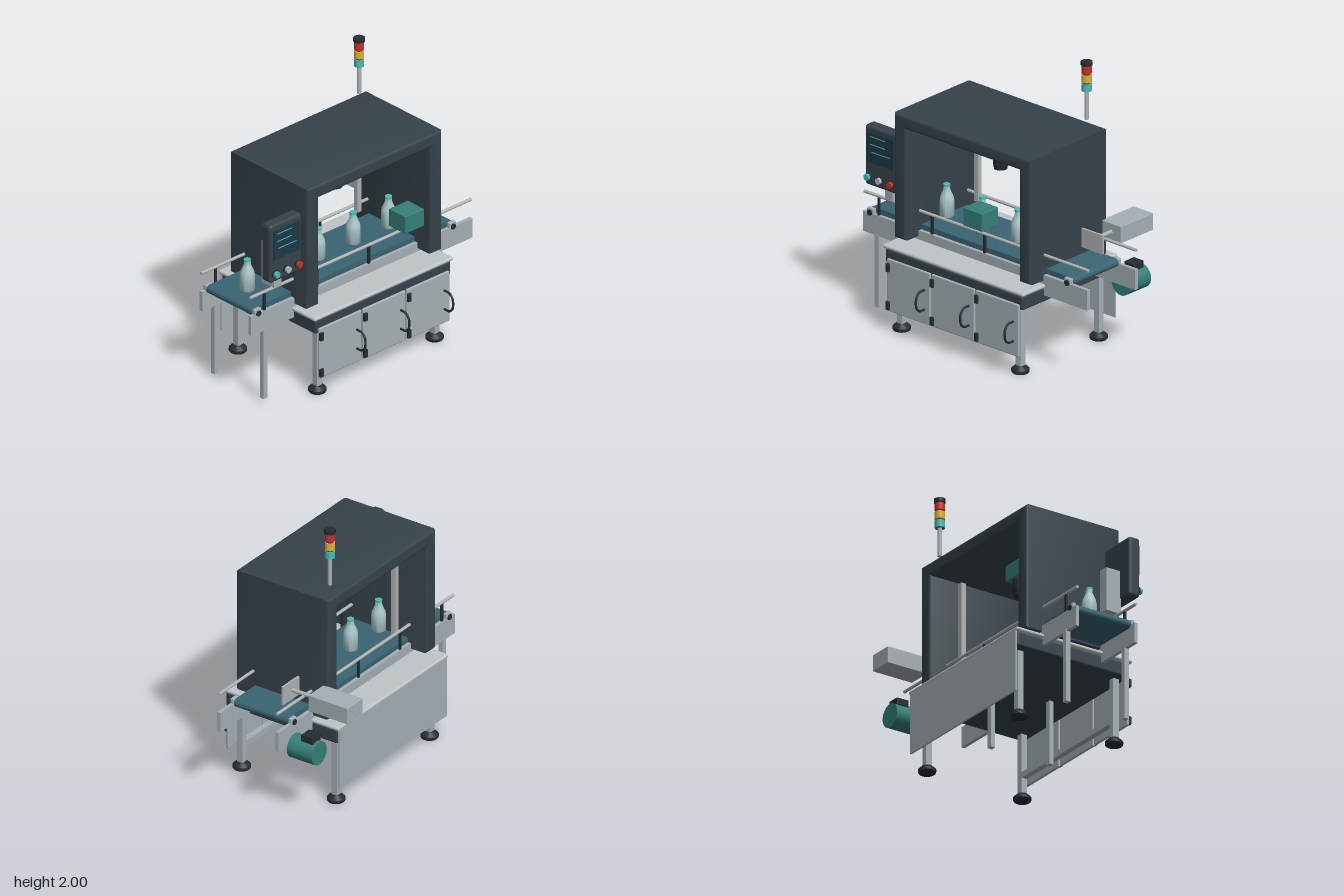
import * as THREE from 'three';
import { RoundedBoxGeometry } from 'three/addons/geometries/RoundedBoxGeometry.js';
import { toCreasedNormals } from 'three/addons/utils/BufferGeometryUtils.js';

const COLORS = {
  dark: 0x36434a, black: 0x262c31, grey: 0xa6b0b5, light: 0xbfc5c8, steel: 0xb0b3b5,
  teal: 0x358078, belt: 0x3a6472, screen: 0x1d3a47, cyan: 0x48bdb6,
  red: 0xc9302c, yellow: 0xe2b22f, bottle: 0xa9c6c8,
};
const mats = {};
for (const k in COLORS) mats[k] = new THREE.MeshStandardMaterial({ color: COLORS[k] });

export function createModel() {
  const model = new THREE.Group();

  function add(name, geo, mat, x = 0, y = 0, z = 0) {
    const m = new THREE.Mesh(geo, mats[mat]);
    m.name = name;
    m.position.set(x, y, z);
    model.add(m);
    return m;
  }
  // Box given by its limits, with optional rounded edges
  function box(name, mat, [x0, x1], [y0, y1], [z0, z1], r = 0) {
    const s = [x1 - x0, y1 - y0, z1 - z0];
    const geo = r ? new RoundedBoxGeometry(...s, 3, r) : new THREE.BoxGeometry(...s);
    return add(name, geo, mat, (x0 + x1) / 2, (y0 + y1) / 2, (z0 + z1) / 2);
  }
  // Cylinder centred on a point, along the chosen axis
  function cyl(name, mat, r, len, pos, axis = 'y', rTop = r) {
    const geo = new THREE.CylinderGeometry(rTop, r, len, 28);
    if (axis === 'x') geo.rotateZ(Math.PI / 2);
    if (axis === 'z') geo.rotateX(Math.PI / 2);
    return add(name, geo, mat, ...pos);
  }
  const around = (c, w) => [c - w / 2, c + w / 2];

  // Cabinet: worktop, dark frame, back panel, lower rail
  box('worktop', 'light', [-0.63, 0.625], [0.583, 0.61], [-0.42, 0.512], 0.012);
  box('cabinetFrame', 'dark', [-0.613, 0.613], [0.48, 0.583], [-0.405, 0.5], 0.015);
  box('backPanel', 'grey', [-0.61, 0.61], [0.15, 0.585], [-0.418, -0.406]);
  box('lowerRail', 'grey', [-0.53, 0.53], [0.16, 0.2], [0.41, 0.45]);

  // Cabinet legs on levelling feet
  const foot = [[0, 0], [0.055, 0], [0.061, 0.008], [0.061, 0.026], [0.036, 0.05], [0, 0.052]]
    .map((p) => new THREE.Vector2(...p));
  for (const x of [-0.53, 0.53]) {
    for (const z of [-0.335, 0.43]) {
      box('cabinetLeg', 'grey', around(x, 0.045), [0.045, 0.49], around(z, 0.045));
      add('foot', toCreasedNormals(new THREE.LatheGeometry(foot, 28), 0.5), 'black', x, 0, z);
    }
  }

  // Doors with hinges and bow handles
  const bow = new THREE.CatmullRomCurve3([
    [0.25, 0.53], [0.252, 0.56], [0.28, 0.59], [0.32, 0.597], [0.36, 0.59], [0.388, 0.56], [0.39, 0.53],
  ].map(([y, z]) => new THREE.Vector3(0, y, z)));
  for (const x of [-0.396, 0, 0.396]) {
    box('door', 'grey', around(x, 0.387), [0.145, 0.52], [0.494, 0.514], 0.009);
    for (const y of [0.188, 0.46]) box('hinge', 'black', around(x - 0.178, 0.028), around(y, 0.06), [0.505, 0.53], 0.004);
    add('doorHandle', new THREE.TubeGeometry(bow, 30, 0.008, 10), 'black', x + 0.145);
    for (const y of [0.25, 0.39]) cyl('handleEnd', 'black', 0.008, 0.03, [x + 0.145, y, 0.52], 'z');
  }

  // Hood: tunnel-shaped cover open at front and back
  const b = 0.02;
  const u = new THREE.Shape();
  const ox = 0.61 - b, ix = 0.505 + b, top = 1.53 - b, inner = 1.435 + b, bottom = 0.635 + b;
  u.moveTo(-ox, bottom);
  for (const [x, y] of [[-ix, bottom], [-ix, inner], [ix, inner], [ix, bottom], [ox, bottom], [ox, top], [-ox, top]]) u.lineTo(x, y);
  const hood = new THREE.ExtrudeGeometry(u, {
    depth: 0.75 - 2 * b, bevelEnabled: true, bevelSize: b, bevelThickness: b, bevelSegments: 4,
  });
  add('hood', toCreasedNormals(hood, 0.6), 'dark', 0, 0, -0.33 + b);

  // Conveyor: side frames, legs, belt, rollers and bearings
  const sides = [-0.19, 0.28];
  const midZ = 0.043;
  for (const z of sides) {
    box('conveyorSideFrame', 'grey', [-1, 1], [0.53, 0.675], around(z, 0.026));
    for (const x of [-0.875, -0.005]) box('conveyorLeg', 'grey', around(x, 0.036), [0.02, 0.54], around(z, 0.034));
    for (const x of [-0.936, 0.823]) {
      box('bearingBlock', 'grey', around(x, 0.06), [0.665, 0.712], around(z, 0.03), 0.008);
      cyl('rollerBearing', 'black', 0.02, 0.046, [x, 0.68, z], 'z');
    }
    cyl('guideRail', 'steel', 0.011, 2, [0, 0.812, z], 'x');
    for (const x of [-0.87, -0.395, 0.075, 0.545]) box('guideRailPost', 'black', around(x, 0.016), [0.67, 0.82], around(z, 0.014));
  }
  const loop = new THREE.Shape();
  loop.absarc(-0.936, 0.68, 0.03, Math.PI / 2, Math.PI * 1.5, false);
  loop.absarc(0.823, 0.68, 0.03, -Math.PI / 2, Math.PI / 2, false);
  const belt = new THREE.ExtrudeGeometry(loop, { depth: 0.44, bevelEnabled: false, curveSegments: 12 });
  add('conveyorBelt', toCreasedNormals(belt, 0.6), 'belt', 0, 0, midZ - 0.22);

  // Bottles on the belt
  const bottle = [[0, 0], [0.046, 0], [0.05, 0.006], [0.05, 0.115], [0.045, 0.14], [0.027, 0.18], [0.023, 0.195], [0.023, 0.22], [0, 0.22]]
    .map((p) => new THREE.Vector2(...p));
  for (let i = 0; i < 5; i++) {
    const x = -0.8 + i * 0.319;
    add('bottle', toCreasedNormals(new THREE.LatheGeometry(bottle, 28), 0.7), 'bottle', x, 0.71, midZ);
    cyl('bottleCap', 'cyan', 0.024, 0.014, [x, 0.931, midZ]);
  }

  // Inspection camera, light bars and front sensor
  box('cameraBody', 'teal', [-0.08, 0.08], [1.3, 1.42], around(midZ, 0.13), 0.012);
  cyl('cameraMount', 'black', 0.03, 0.03, [0, 1.428, midZ]);
  cyl('lensBarrel', 'black', 0.051, 0.08, [0, 1.265, midZ]);
  cyl('lensTip', 'black', 0.044, 0.04, [0, 1.207, midZ], 'y', 0.051);
  for (const x of [-0.385, 0.385]) box('lightBar', 'steel', around(x, 0.036), [0.78, 1.372], around(-0.155, 0.036));
  box('sensorHousing', 'teal', [0.14, 0.31], [0.98, 1.11], [0.405, 0.565], 0.006);

  // Operator panel on its bracket
  box('panelBracket', 'grey', [-0.8, -0.73], [0.82, 1.13], [0.18, 0.3]);
  box('operatorPanel', 'dark', [-0.908, -0.62], [0.92, 1.35], [0.29, 0.38], 0.022);
  box('panelScreen', 'screen', [-0.885, -0.645], [1.09, 1.305], [0.37, 0.386]);
  for (const [x, y, w] of [[-0.785, 1.278, 0.13], [-0.785, 1.222, 0.13], [-0.76, 1.168, 0.16]]) {
    box('screenLine', 'cyan', around(x, w), around(y, 0.006), [0.38, 0.388]);
  }
  ['cyan', 'steel', 'red'].forEach((c, i) => {
    const x = -0.867 + i * 0.102;
    cyl('buttonRing', 'black', 0.027, 0.014, [x, 0.986, 0.384], 'z');
    cyl('button', c, 0.022, 0.035, [x, 0.986, 0.395], 'z');
  });

  // Reject pusher
  box('pusherBody', 'grey', [0.6, 0.775], [0.765, 0.885], [-0.6, -0.285], 0.004);
  cyl('pusherRod', 'steel', 0.014, 0.21, [0.688, 0.825, -0.19], 'z');
  box('pusherPlate', 'steel', [0.6, 0.795], [0.757, 0.892], [-0.095, -0.08]);

  // Drive motor
  cyl('driveMotor', 'teal', 0.084, 0.205, [0.838, 0.518, -0.317], 'z');
  box('motorTerminalBox', 'black', [0.79, 0.88], [0.59, 0.64], [-0.395, -0.3], 0.004);

  // Signal tower
  const tx = 0.493, tz = -0.258;
  cyl('towerPole', 'steel', 0.015, 0.21, [tx, 1.69, tz]);
  cyl('towerCore', 'black', 0.026, 0.19, [tx, 1.885, tz]);
  for (const [c, y0, y1, r] of [['cyan', 1.79, 1.843, 0.034], ['yellow', 1.853, 1.907, 0.034], ['red', 1.917, 1.968, 0.034], ['black', 1.974, 2, 0.039]]) {
    cyl('towerSegment', c, r, y1 - y0, [tx, (y0 + y1) / 2, tz]);
  }
  return model;
}
